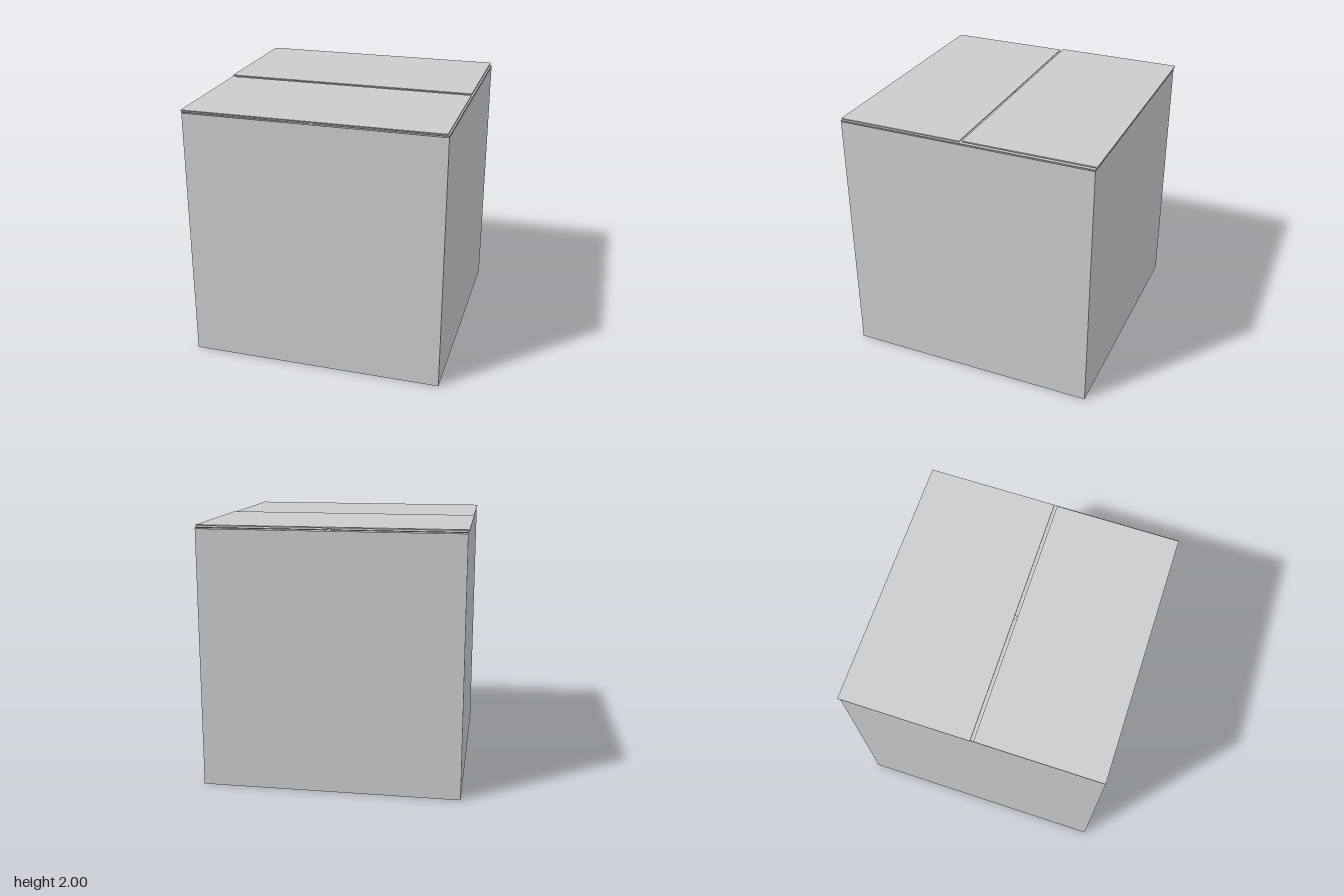
import * as THREE from 'three';

const material = new THREE.MeshStandardMaterial({ color: 0xcccccc, flatShading: true, side: THREE.DoubleSide });

// Flat card panel given by its extents on each axis
function panel(name, [x0, x1], [y0, y1], [z0, z1]) {
  const mesh = new THREE.Mesh(new THREE.BoxGeometry(x1 - x0, y1 - y0, z1 - z0), material);
  mesh.name = name;
  mesh.position.set((x0 + x1) / 2, (y0 + y1) / 2, (z0 + z1) / 2);
  return mesh;
}

export function createModel() {
  const group = new THREE.Group();
  group.name = 'cardboardBox';
  const lo = -0.98, hi = 0.985, top = 1.97, t = 0.006;
  const full = [lo, hi], inner = [lo + t, hi - t], height = [t, top];

  // Hollow carton: base and four walls
  group.add(
    panel('base', full, [0, t], full),
    panel('frontWall', full, height, [hi - t, hi]),
    panel('backWall', full, height, [lo, lo + t]),
    panel('leftWall', [hi - t, hi], height, inner),
    panel('rightWall', [lo, lo + t], height, inner),
  );

  // Lower pair of flaps, folded in from the sides
  group.add(
    panel('leftInnerFlap', [0.015, hi], [1.976, 1.982], [lo, hi]),
    panel('rightInnerFlap', [lo, -0.01], [1.976, 1.982], [lo, hi]),
  );

  // Upper pair of flaps, meeting at a narrow slit and shifted slightly sideways
  group.add(
    panel('frontOuterFlap', [-0.985, 0.975], [1.987, 1.994], [0.025, 0.985]),
    panel('backOuterFlap', [-0.99, 0.975], [1.991, 2.0], [-0.99, 0.002]),
  );
  return group;
}
